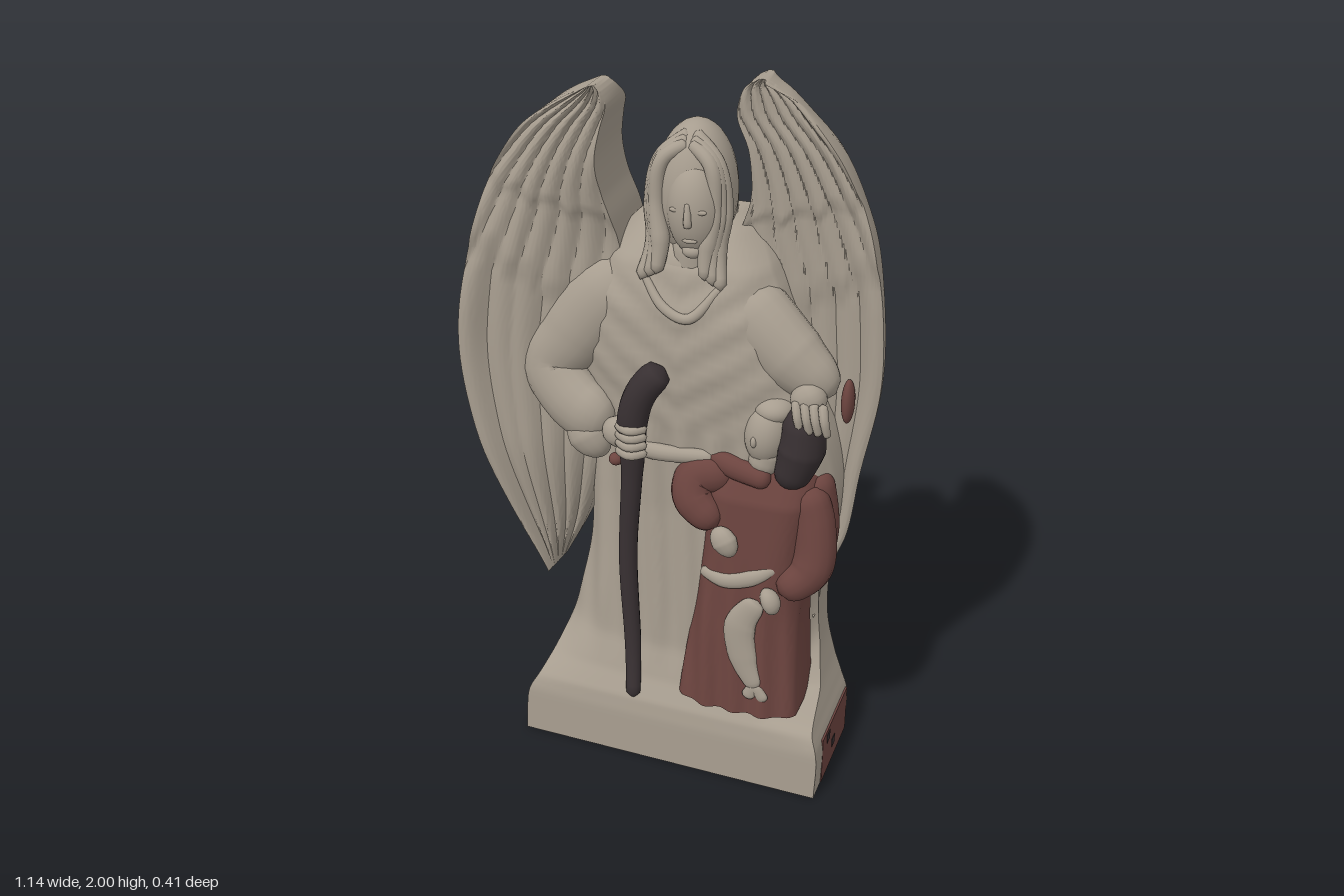
import * as THREE from 'three';
import { mergeVertices, toCreasedNormals } from 'three/addons/utils/BufferGeometryUtils.js';

const V = (p) => new THREE.Vector3(...p);
const { lerp, clamp, smoothstep: smooth } = THREE.MathUtils;

// Piecewise-linear lookup in [key, value] pairs
function pick(table, k) {
  for (let i = 1; i < table.length; i++) {
    const [a, va] = table[i - 1], [b, vb] = table[i];
    if (k <= b) return lerp(va, vb, clamp((k - a) / (b - a), 0, 1));
  }
  return table[table.length - 1][1];
}

// Solid between a front and a back relief; rows are [y, xMin, xMax] from the bottom up
function slab(rows, front, back, ny = 60, nx = 48) {
  const curve = new THREE.CatmullRomCurve3(rows.map(V), false, 'centripetal');
  const pos = [], idx = [], ring = 2 * (nx + 1);
  for (let i = 0; i <= ny; i++) {
    const { x: y, y: x0, z: x1 } = curve.getPoint(i / ny);
    for (let j = 0; j < ring; j++) {
      const isFront = j <= nx, s = isFront ? j / nx : (ring - 1 - j) / nx;
      const x = lerp(x0, x1, s);
      pos.push(x, y, (isFront ? front : back)(x, y, s));
    }
  }
  const quad = (a, b, c, d) => idx.push(a, b, c, a, c, d);
  for (let i = 0; i < ny; i++) for (let j = 0; j < ring; j++) {
    const k = (j + 1) % ring, r = i * ring;
    quad(r + j, r + k, r + ring + k, r + ring + j);
  }
  const t = ny * ring;
  for (let j = 0; j < nx; j++) {
    quad(t + j, t + j + 1, t + ring - 2 - j, t + ring - 1 - j);
    quad(ring - 1 - j, ring - 2 - j, j + 1, j);
  }
  const g = new THREE.BufferGeometry();
  g.setAttribute('position', new THREE.Float32BufferAttribute(pos, 3));
  g.setIndex(idx);
  return toCreasedNormals(g, 0.8);
}

// Round-ended tube along points, with a radius for each point
function limb(points, radii, flat = 1, n = 28, m = 14) {
  const curve = new THREE.CatmullRomCurve3(points.map(V));
  const table = radii.map((r, i) => [i / (radii.length - 1), r]);
  let g = new THREE.TubeGeometry(curve, n, 1, m);
  const p = g.attributes.position, length = curve.getLength(), v = new THREE.Vector3();
  for (let i = 0; i < p.count; i++) {
    const t = Math.floor(i / (m + 1)) / n, c = curve.getPointAt(t);
    let r = pick(table, t);
    const e = Math.min(1, Math.min(t, 1 - t) * length / Math.min(r, length / 2));
    r *= Math.sqrt(1 - (1 - e) ** 2);
    v.fromBufferAttribute(p, i).sub(c).multiplyScalar(r);
    p.setXYZ(i, c.x + v.x, c.y + v.y, c.z + v.z * flat);
  }
  g.deleteAttribute('uv');
  g.deleteAttribute('normal');
  g = mergeVertices(g, 1e-5);
  g.computeVertexNormals();
  return g;
}

function ball(c, r, tilt = 0) {
  return new THREE.SphereGeometry(1, 28, 20).scale(...r).rotateZ(tilt).translate(...c);
}

export function createModel() {
  const model = new THREE.Group();
  const mat = (name, color) => Object.assign(new THREE.MeshStandardMaterial({ color }), { name });
  const stone = mat('stone', 0xa79d8f), red = mat('russet', 0x6c443f), dark = mat('darkBrown', 0x383032);
  const add = (name, g, m = stone) => {
    const mesh = new THREE.Mesh(g, m);
    mesh.name = name;
    model.add(mesh);
  };

  // Plinth, long robe and flat back in one block, with a cut back corner
  const depth = [[0, 0.193], [0.14, 0.187], [0.19, 0.178], [0.25, 0.145], [0.35, 0.115], [0.8, 0.095],
    [1.0, 0.1], [1.25, 0.115], [1.4, 0.105], [1.52, 0.07], [1.6, 0], [1.64, -0.06]];
  const backPlane = (y) => Math.max(-0.2, -0.14 - 0.045 * y);
  add('robeAndPlinth', slab(
    [[0, -0.39, 0.51], [0.14, -0.38, 0.51], [0.2, -0.35, 0.49], [0.27, -0.32, 0.465], [0.4, -0.28, 0.435],
      [0.6, -0.24, 0.44], [0.8, -0.23, 0.48], [1, -0.21, 0.47], [1.2, -0.24, 0.4], [1.4, -0.23, 0.33],
      [1.52, -0.18, 0.28], [1.6, -0.12, 0.22], [1.64, -0.06, 0.18]],
    (x, y, s) => pick(depth, y) + 0.02 * x - 0.09 * smooth(y, 0.15, 0.4) * Math.abs(2 * s - 1) ** 5
      - 0.1 * smooth(x, 0.3, 0.43) * smooth(y, 0.2, 0.26) * (1 - smooth(y, 0.35, 0.9))
      + 0.007 * smooth(y, 0.25, 0.5) * (1 - smooth(y, 1, 1.1)) * Math.sin(x * 70 + y * 3)
      + 0.004 * smooth(y, 1.03, 1.12) * (1 - smooth(y, 1.45, 1.55)) * Math.sin(60 * (y - 0.7 * Math.abs(x - 0.06))),
    (x, y) => Math.min(0.1, backPlane(y) + 1.75 * Math.max(0, -0.25 - x)) + 0.06 * smooth(y, 1.54, 1.66),
    90, 72));
  add('plinthSidePatch', new THREE.BoxGeometry(0.008, 0.15, 0.265).translate(0.509, 0.078, -0.003), red);
  for (const [y, z] of [[0.125, 0.07], [0.065, 0.01]])
    add('plinthSpot', new THREE.BoxGeometry(0.002, 0.03, 0.03).translate(0.5135, y, z), dark);

  // Wings: long feather ridges follow the outer edge, short slanting ones overlap them above
  const feathers = (o, y) => 0.011 * Math.abs(Math.sin((o * 6 + 4 * Math.max(0, y - 1.45)) * Math.PI))
    + 0.011 * smooth(y - 0.25 * o - 0.03 * Math.abs(Math.sin(o * 13)), 1.26, 1.29)
    + 0.009 * smooth(y - 0.1 * o - 0.03 * Math.abs(Math.sin(o * 11)), 1.58, 1.61);
  const tip = (y) => 1 - smooth(y, 0.5, 0.95);
  const forwardFront = (x, y, s) => lerp(lerp(0.0, 0.06, smooth(y, 1.5, 1.8)), 0.085 - 0.01 * smooth(y, 1.4, 1.9),
    Math.min(1, (1 - s) * 1.5)) + 0.035 * (1 - smooth(s, 0, 0.2)) * (1 - smooth(y, 1.3, 1.7))
    - 0.05 * tip(y) + feathers(1 - s, y);
  add('rightWing', slab(
    [[0.5, -0.35, -0.34], [0.62, -0.41, -0.28], [0.73, -0.455, -0.24], [0.97, -0.535, -0.18], [1.2, -0.57, -0.15],
      [1.39, -0.555, -0.12], [1.6, -0.505, -0.14], [1.7, -0.47, -0.165], [1.79, -0.42, -0.17],
      [1.87, -0.36, -0.155], [1.93, -0.28, -0.14], [1.97, -0.21, -0.15], [1.985, -0.18, -0.165]],
    forwardFront,
    (x, y, s) => {
      const t = clamp((x + 0.57) / 0.33, 0, 1), top = clamp((y - 1.45) / 0.53, 0, 1);
      const a = 0.115 - 0.315 * t ** 0.72, b = -0.22 + 0.17 * top + 0.05 * smooth(y, 1.9, 1.99);
      const z = 0.5 * (a + b + Math.sqrt((a - b) ** 2 + 0.0015));
      return lerp(Math.min(z, forwardFront(x, y, s) - 0.015), -0.03, 0.85 * tip(y));
    }, 80, 72));
  add('leftWing', slab(
    [[0.45, 0.25, 0.425], [0.6, 0.25, 0.45], [0.73, 0.25, 0.5], [0.94, 0.25, 0.53], [1.18, 0.2, 0.57],
      [1.34, 0.17, 0.57], [1.58, 0.175, 0.54], [1.68, 0.2, 0.51], [1.81, 0.195, 0.45], [1.9, 0.16, 0.38],
      [1.96, 0.17, 0.32], [1.985, 0.19, 0.27], [2, 0.215, 0.24]],
    (x, y, s) => -0.08 + feathers(s, y) + 0.025 * smooth(s, 0.75, 1),
    (x, y, s) => backPlane(y) + 0.012 * (1 - smooth(y, 0.8, 1.5)) - 0.004 * smooth(y, 1.4, 1.6)
      + 0.12 * Math.max(0, (s - 0.5) * 2) ** 2.5 + 0.07 * smooth(y, 1.82, 2.03),
    80, 72));
  add('wingPatch', ball([0.485, 1.15, -0.055], [0.018, 0.065, 0.028]), red);

  // Head, face and hair
  add('neck', limb([[0.07, 1.46, 0], [0.08, 1.62, 0.01]], [0.07, 0.06]));
  add('hairBack', ball([0.06, 1.7, -0.04], [0.108, 0.188, 0.12]));
  add('hairFall', limb([[0.06, 1.78, -0.07], [0.06, 1.45, -0.09]], [0.1, 0.1], 0.9));
  add('face', ball([0.083, 1.675, 0.032], [0.076, 0.125, 0.075], 0.05));
  add('nose', limb([[0.083, 1.715, 0.098], [0.087, 1.665, 0.109], [0.088, 1.648, 0.106]], [0.007, 0.01, 0.012], 1, 12, 8));
  add('mouth', ball([0.088, 1.61, 0.093], [0.02, 0.007, 0.009]));
  add('chin', ball([0.088, 1.575, 0.07], [0.028, 0.02, 0.022]));
  for (const s of [-1, 1]) {
    add('eyelid', ball([0.083 + s * 0.032, 1.69, 0.094], [0.018, 0.007, 0.007]));
    for (let i = 0; i < 3; i++) {
      const c = 0.062, w = i * 0.011, end = s < 0 ? -0.05 + w * 2 : 0.17 - w * 2;
      add('hairLock', limb([[c, 1.868 - w, 0.0 + w], [c + s * (0.075 - w * 0.5), 1.8, 0.025 + w],
        [c + s * (0.1 - w), 1.68, 0.03 + w], [c + s * (0.085 - w), 1.58, 0.045 + w], [end, 1.48 + w, 0.085]],
      [0.018, 0.02, 0.02, 0.026, 0.016]));
    }
  }

  // Shoulders, neckline and belt
  add('shoulders', limb([[-0.2, 1.43, -0.04], [0.06, 1.49, -0.02], [0.28, 1.42, -0.04]], [0.09, 0.1, 0.09], 0.95));
  add('neckline', limb([[-0.05, 1.5, 0.07], [0.02, 1.42, 0.103], [0.09, 1.4, 0.11], [0.17, 1.49, 0.075]],
    [0.01, 0.014, 0.014, 0.01], 0.8));
  add('belt', limb([[-0.18, 1.0, 0.08], [0, 0.99, 0.106], [0.17, 1.0, 0.1]], [0.02, 0.025, 0.02], 0.8));

  // Arm holding the staff
  add('rightArm', limb([[-0.06, 1.46, -0.03], [-0.17, 1.39, 0.015], [-0.27, 1.26, 0.035], [-0.325, 1.175, 0.045],
    [-0.25, 1.085, 0.07], [-0.13, 1.035, 0.095]], [0.08, 0.105, 0.1, 0.085, 0.09, 0.085], 0.72, 40, 18));
  add('rightCuff', limb([[-0.24, 1.06, 0.08], [-0.19, 0.99, 0.1], [-0.16, 0.94, 0.08]], [0.05, 0.065, 0.035], 0.7));
  add('cuffLining', ball([-0.12, 0.94, 0.1], [0.02, 0.018, 0.02]), red);
  add('rightHand', limb([[-0.15, 1.04, 0.11], [-0.06, 1.035, 0.125]], [0.042, 0.048], 0.8));
  for (let i = 0; i < 4; i++) {
    const y = 1.072 - i * 0.025;
    add('staffFinger', limb([[-0.1, y, 0.14], [-0.05, y + 0.004, 0.17], [-0.012, y + 0.004, 0.14]], [0.014, 0.014, 0.012], 1, 12, 8));
  }
  add('staff', limb([[-0.05, 0.185, 0.17], [-0.062, 0.35, 0.137], [-0.078, 0.65, 0.125], [-0.06, 0.95, 0.13], [-0.055, 1.1, 0.135],
    [-0.03, 1.18, 0.135], [0.03, 1.26, 0.125]], [0.021, 0.024, 0.026, 0.027, 0.03, 0.044, 0.042], 0.9, 50), dark);

  // Arm reaching over the child
  add('leftArm', limb([[0.13, 1.46, -0.03], [0.25, 1.385, 0.015], [0.36, 1.295, 0.035], [0.475, 1.22, 0.045]],
    [0.08, 0.105, 0.095, 0.055], 0.78, 36, 18));
  add('leftHand', limb([[0.45, 1.235, 0.06], [0.41, 1.215, 0.085], [0.37, 1.2, 0.1]], [0.05, 0.05, 0.035], 0.85));
  for (let i = 0; i < 4; i++) {
    const x = 0.385 + i * 0.024;
    add('restingFinger', limb([[x, 1.22, 0.11], [x + 0.012, 1.18, 0.13], [x + 0.022, 1.13, 0.125]], [0.014, 0.013, 0.01], 1, 12, 8));
  }

  // Child: robe, arms and head
  add('childRobe', slab(
    [[0.24, 0.085, 0.435], [0.4, 0.1, 0.425], [0.6, 0.12, 0.42], [0.8, 0.13, 0.44], [0.92, 0.13, 0.46],
      [0.99, 0.17, 0.45], [1.03, 0.24, 0.41]],
    (x, y, s) => pick([[0.24, 0.195], [0.55, 0.168], [0.9, 0.145], [1.03, 0.09]], y)
      - lerp(0.05, 0.09, smooth(y, 0.25, 0.8)) * Math.abs(2 * s - 1) ** 5
      + 0.007 * (1 - smooth(y, 0.5, 0.75)) * Math.sin(x * 75 + y * 4),
    () => -0.01), red);
  add('childCollar', limb([[0.13, 1.0, 0.08], [0.22, 0.985, 0.105], [0.33, 0.97, 0.125]], [0.03, 0.035, 0.03], 0.8), red);
  add('childRightArm', limb([[0.22, 0.96, 0.09], [0.12, 0.935, 0.1], [0.11, 0.88, 0.12], [0.19, 0.81, 0.14]],
    [0.055, 0.06, 0.058, 0.045], 0.8), red);
  add('childLeftArm', limb([[0.41, 0.95, 0.07], [0.445, 0.84, 0.085], [0.445, 0.71, 0.11], [0.37, 0.64, 0.15]],
    [0.055, 0.058, 0.06, 0.045], 0.9), red);
  add('childSleeveBack', limb([[0.425, 0.98, 0.035], [0.45, 0.82, 0.035], [0.44, 0.62, 0.045]], [0.05, 0.05, 0.04]), red);
  add('childRightHand', limb([[0.19, 0.82, 0.16], [0.22, 0.78, 0.168], [0.24, 0.74, 0.165]], [0.03, 0.038, 0.022], 0.7));
  add('childLeftHand', limb([[0.38, 0.635, 0.17], [0.33, 0.615, 0.175]], [0.035, 0.046], 0.7));
  add('childSash', limb([[0.14, 0.655, 0.13], [0.22, 0.655, 0.162], [0.3, 0.68, 0.16], [0.36, 0.715, 0.145]], [0.016, 0.022, 0.024, 0.013], 0.6));
  add('childNeck', limb([[0.29, 0.97, 0.09], [0.32, 1.08, 0.08]], [0.045, 0.05]));
  add('childFace', ball([0.305, 1.095, 0.08], [0.062, 0.092, 0.066], -0.1));
  add('childNose', ball([0.285, 1.09, 0.14], [0.009, 0.016, 0.01]));
  add('childForelock', ball([0.32, 1.165, 0.07], [0.055, 0.04, 0.058]));
  add('childHair', limb([[0.4, 1.19, 0.085], [0.4, 1.07, 0.085], [0.365, 0.945, 0.09]], [0.05, 0.066, 0.045], 1.05), dark);

  // Fish held by the child
  add('fish', limb([[0.32, 0.62, 0.175], [0.272, 0.53, 0.178], [0.285, 0.42, 0.182], [0.325, 0.33, 0.19]], [0.03, 0.046, 0.042, 0.022], 0.42));
  for (const dx of [-0.03, 0.025])
    add('fishTail', limb([[0.32, 0.345, 0.19], [0.328 + dx, 0.295, 0.192]], [0.016, 0.02], 0.4, 10, 8));

  return model;
}
